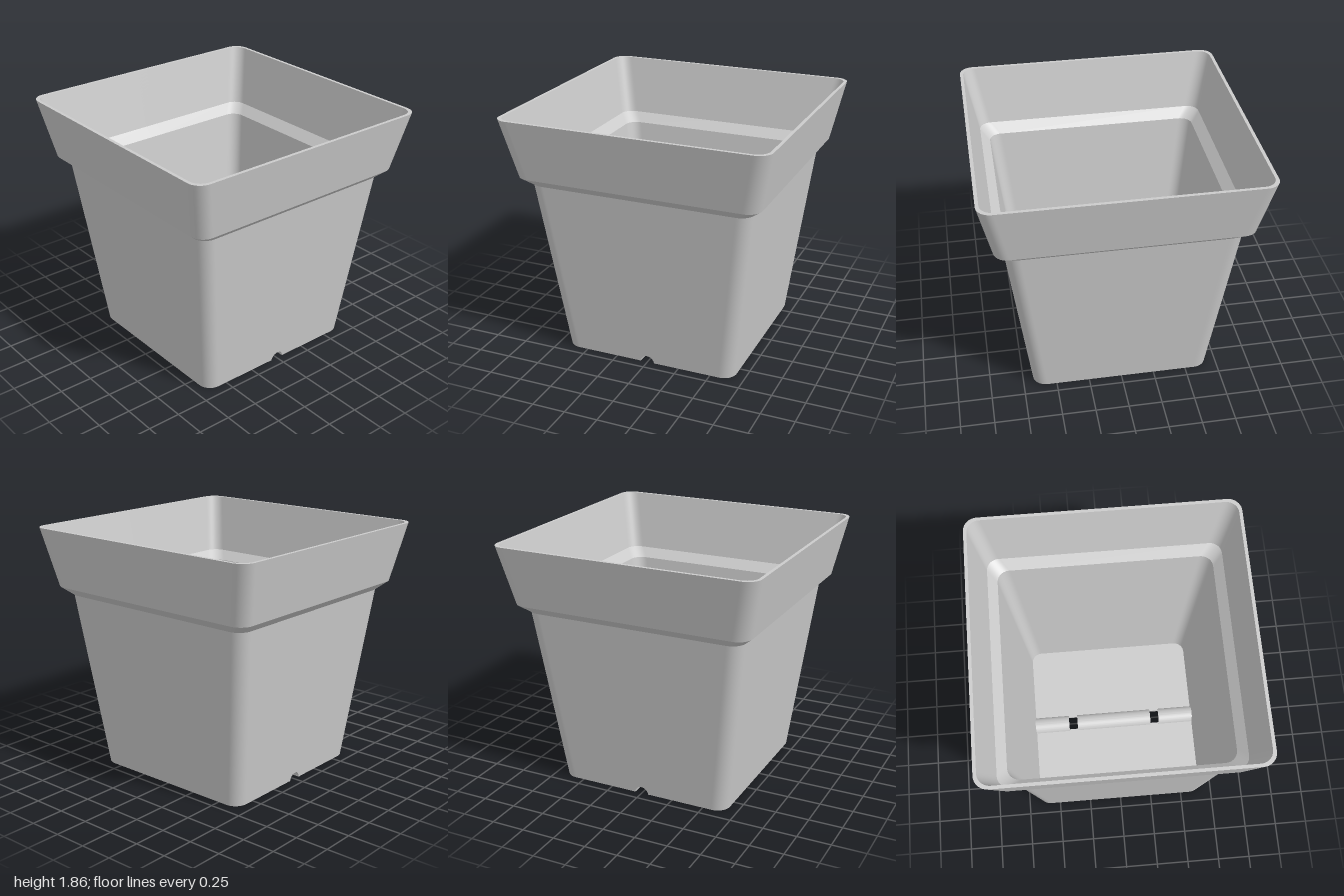
import * as THREE from 'three';
import { toCreasedNormals } from 'three/addons/utils/BufferGeometryUtils.js';

const FLOOR = 0.02;      // floor thickness
const ARCH_IN = 0.053;   // drain channel radius, underside
const ARCH_OUT = 0.07;   // drain channel radius, inside the pot
const CORNER_STEPS = 10;
const NOTCH_STEPS = 16;

// Plan points of a rounded square, with extra points across the drain notch
function ringPoints(half, radius) {
  const points = [];
  const c = half - radius;
  const guard = 0.01; // keeps the corner shading off the flat sides
  for (let k = 0; k < 4; k++) {
    const sx = k === 0 || k === 3 ? 1 : -1;
    const sz = k < 2 ? 1 : -1;
    const corner = [];
    for (let i = 0; i <= CORNER_STEPS; i++) {
      const a = (k + i / CORNER_STEPS) * Math.PI / 2;
      corner.push({ x: sx * c + radius * Math.cos(a), z: sz * c + radius * Math.sin(a) });
    }
    const a0 = k * Math.PI / 2;
    const first = corner[0], last = corner[CORNER_STEPS];
    points.push({ x: first.x + guard * Math.sin(a0), z: first.z - guard * Math.cos(a0) });
    points.push(...corner);
    points.push({ x: last.x - guard * Math.cos(a0), z: last.z - guard * Math.sin(a0) });
    if (k % 2 === 0) {
      for (let i = 0; i <= NOTCH_STEPS; i++) {
        const x = sz * ARCH_IN * Math.cos(Math.PI * i / NOTCH_STEPS);
        points.push({ x, z: sz * half, notch: Math.sqrt(Math.max(0, ARCH_IN ** 2 - x * x)) });
      }
    }
  }
  return points;
}

// Wall skin: up the outside, over the rim and down the inside
function wallGeometry() {
  const slope = 0.12;
  const profile = [ // y, half width, corner radius
    [0, 0.673, 0.1],
    [1.35, 0.835, 0.1],
    [1.415, 0.908, 0.1],
    [1.86, 1, 0.1],
    [1.86, 0.976, 0.09],
    [1.42, 0.884, 0.09],
    [1.35, 0.815, 0.09],
    [FLOOR, 0.656, 0.08],
  ];
  const positions = [], index = [];
  let n = 0;
  profile.forEach(([y, half, radius], r) => {
    const ring = ringPoints(half, radius);
    n = ring.length;
    const isFoot = r === 0 || r === profile.length - 1;
    for (const p of ring) {
      const lift = isFoot && p.notch ? Math.max(0, p.notch - y) : 0;
      positions.push(p.x, y + lift, p.z + Math.sign(p.z) * slope * lift);
    }
    if (r === 0) return;
    for (let j = 0; j < n; j++) {
      const k = (j + 1) % n;
      const a = (r - 1) * n + j, b = (r - 1) * n + k;
      const c = r * n + j, d = r * n + k;
      index.push(a, c, b, b, c, d);
    }
  });
  const geometry = new THREE.BufferGeometry();
  geometry.setAttribute('position', new THREE.Float32BufferAttribute(positions, 3));
  geometry.setIndex(index);
  return toCreasedNormals(geometry, 0.5);
}

// One half of the floor, on the +x side of the drain channel
function floorGeometry(side) {
  const h = 0.672, r = 0.1;
  const shape = new THREE.Shape();
  shape.moveTo(side * ARCH_IN, -h);
  shape.lineTo(side * (h - r), -h);
  shape.quadraticCurveTo(side * (h - r * 0.08), -h + r * 0.08, side * h, -h + r);
  shape.lineTo(side * h, h - r);
  shape.quadraticCurveTo(side * (h - r * 0.08), h - r * 0.08, side * (h - r), h);
  shape.lineTo(side * ARCH_IN, h);
  shape.closePath();
  const geometry = new THREE.ExtrudeGeometry(shape, { depth: FLOOR, bevelEnabled: false, curveSegments: 10 });
  return geometry.rotateX(-Math.PI / 2);
}

// Half-round channel running along z
function channelGeometry(z0, z1) {
  const shape = new THREE.Shape();
  shape.absarc(0, 0, ARCH_OUT, 0, Math.PI, false);
  shape.absarc(0, 0, ARCH_IN, Math.PI, 0, true);
  shape.closePath();
  const geometry = new THREE.ExtrudeGeometry(shape, { depth: z1 - z0, bevelEnabled: false, curveSegments: 20 });
  return toCreasedNormals(geometry.translate(0, 0, z0), 0.5);
}

export function createModel() {
  const pot = new THREE.Group();
  pot.name = 'squarePlantPot';
  const material = new THREE.MeshStandardMaterial({ color: 0xcccccc, side: THREE.DoubleSide });
  const add = (name, geometry) => {
    const mesh = new THREE.Mesh(geometry, material);
    mesh.name = name;
    pot.add(mesh);
  };

  add('wall', wallGeometry());
  add('floorLeft', floorGeometry(1));
  add('floorRight', floorGeometry(-1));

  // Channel pieces, with a drain hole in each gap
  add('drainChannelBack', channelGeometry(-0.674, -0.378));
  add('drainChannelMiddle', channelGeometry(-0.308, 0.308));
  add('drainChannelFront', channelGeometry(0.378, 0.674));
  return pot;
}
